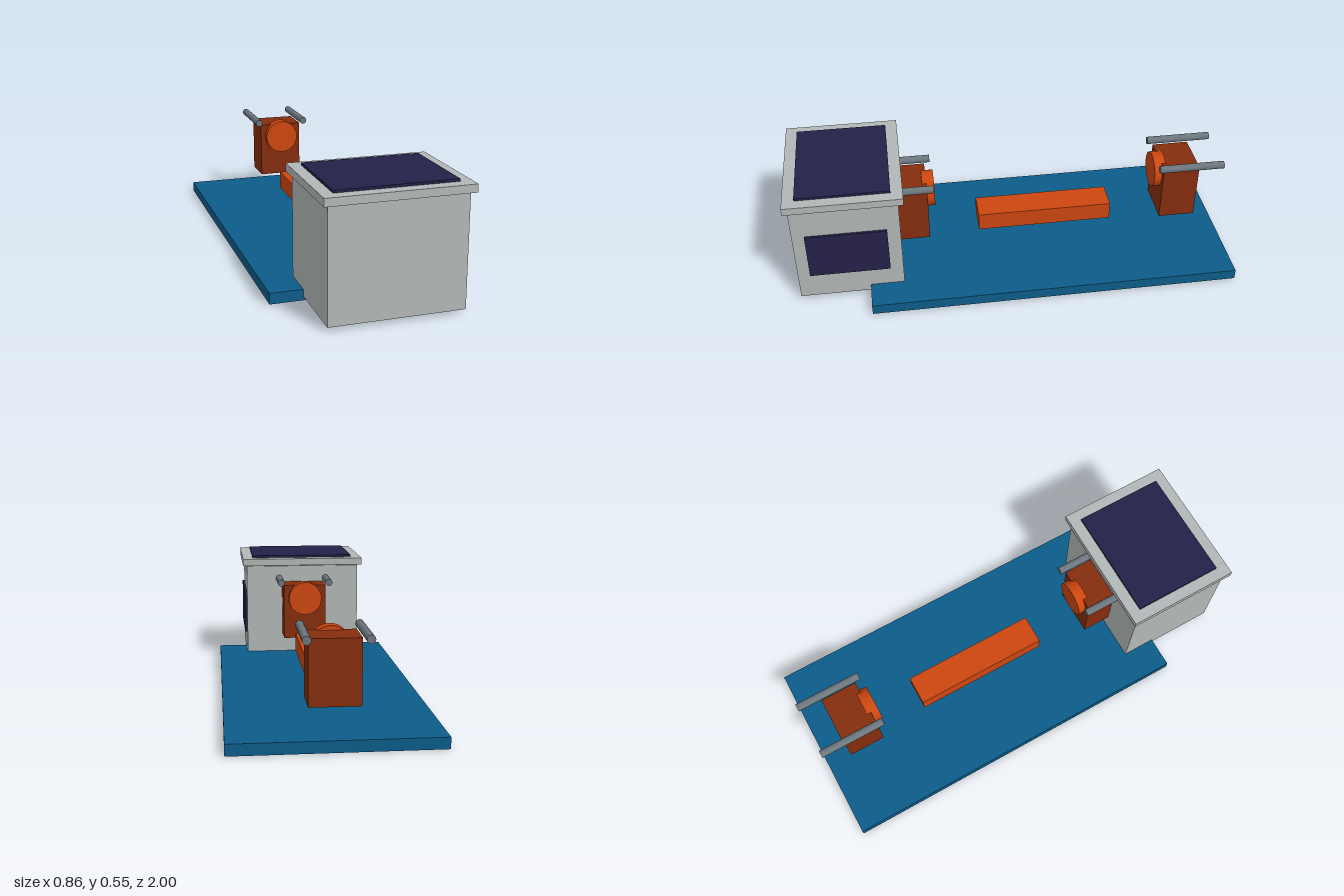
import * as THREE from 'three';

const paint = (name, color) => {
  const m = new THREE.MeshStandardMaterial({ color });
  m.name = name;
  return m;
};

export function createModel() {
  const blue = paint('deck blue', 0x0d5c8a);
  const grey = paint('cabinet grey', 0xb2b8b7);
  const navy = paint('panel navy', 0x242149);
  const orange = paint('bright orange', 0xcc4710);
  const rust = paint('rust', 0x852d0e);
  const steel = paint('steel', 0x6c767d);

  const model = new THREE.Group();
  model.name = 'model';

  // Box given by its lower and upper limits on each axis
  const box = (name, mat, [x0, x1], [y0, y1], [z0, z1], parent = model) => {
    const mesh = new THREE.Mesh(new THREE.BoxGeometry(x1 - x0, y1 - y0, z1 - z0), mat);
    mesh.position.set((x0 + x1) / 2, (y0 + y1) / 2, (z0 + z1) / 2);
    mesh.name = name;
    parent.add(mesh);
  };

  // Cylinder lying along z
  const rod = (name, mat, r, x, y, [z0, z1], sides, parent) => {
    const geo = new THREE.CylinderGeometry(r, r, z1 - z0, sides).rotateX(Math.PI / 2);
    const mesh = new THREE.Mesh(geo, mat);
    mesh.position.set(x, y, (z0 + z1) / 2);
    mesh.name = name;
    parent.add(mesh);
  };

  // Deck and the floating centre bar
  box('deck', blue, [-0.428, 0.428], [0, 0.048], [-1, 0.665]);
  box('centreBar', orange, [-0.067, 0.067], [0.131, 0.216], [-0.48, 0.145]);

  // Cabinet with lid, top panel and side panel
  box('cabinet', grey, [-0.286, 0.286], [0.017, 0.495], [0.512, 0.98]);
  box('lid', grey, [-0.306, 0.306], [0.5, 0.534], [0.489, 1]);
  box('topPanel', navy, [-0.255, 0.255], [0.534, 0.545], [0.541, 0.948]);
  box('sidePanel', navy, [0.286, 0.297], [0.142, 0.36], [0.57, 0.926]);

  // Two units facing each other: block, round face and a pair of rails
  const unit = (name, z, turn) => {
    const g = new THREE.Group();
    g.name = name;
    box('block', rust, [-0.105, 0.105], [0.144, 0.414], [-0.168, 0], g);
    rod('roundFace', orange, 0.082, 0, 0.351, [-0.02, 0.034], 32, g);
    for (const s of [-1, 1]) rod('rail', steel, 0.0175, s * 0.12, 0.43, [-0.275, 0.026], 16, g);
    g.position.z = z;
    g.rotation.y = turn;
    model.add(g);
  };
  unit('rearUnit', -0.714, 0);
  unit('frontUnit', 0.378, Math.PI);

  return model;
}
